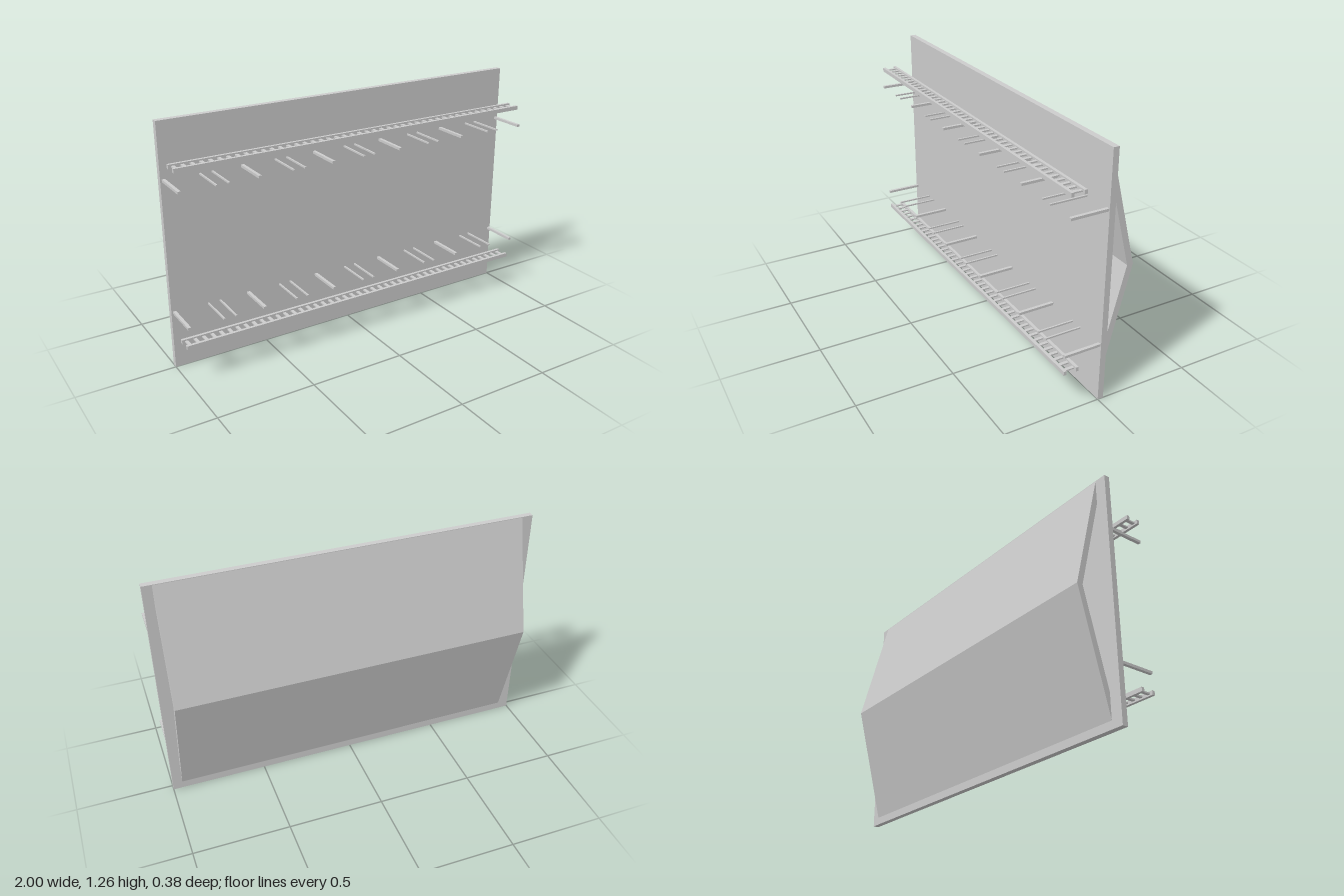
import * as THREE from 'three';

const material = new THREE.MeshStandardMaterial({ color: 0xcccccc, flatShading: true });

function addMesh(parent, name, geometry, x = 0, y = 0, z = 0) {
  const mesh = new THREE.Mesh(geometry, material);
  mesh.name = name;
  mesh.position.set(x, y, z);
  parent.add(mesh);
  return mesh;
}

const box = (w, h, d) => new THREE.BoxGeometry(w, h, d);

// Ladder-shaped tray: two side rails joined by evenly spaced rungs
function createLadder(y) {
  const ladder = new THREE.Group();
  ladder.name = 'ladderTray';
  const length = 1.98, count = 45, pitch = length / count;
  for (const z of [0.11, 0.175]) addMesh(ladder, 'sideRail', box(length, 0.021, 0.015), -0.01, 0, z);
  const rung = box(0.016, 0.007, 0.052);
  for (let i = 0; i < count; i++) addMesh(ladder, 'rung', rung, -1 + pitch * (i + 0.5), 0, 0.1425);
  ladder.position.y = y;
  return ladder;
}

// Row of thick pegs with a pair of thin pegs between neighbours
function createPegRow(y) {
  const row = new THREE.Group();
  row.name = 'pegRow';
  const thick = box(0.016, 0.013, 0.19), thin = box(0.008, 0.008, 0.19);
  const spacing = 0.3945;
  for (let i = 0; i < 6; i++) {
    const x = -0.984 + spacing * i;
    addMesh(row, 'thickPeg', thick, x, 0, 0.095);
    if (i < 5) for (const dx of [0.177, 0.24]) addMesh(row, 'thinPeg', thin, x + dx, 0, 0.095);
  }
  row.position.y = y;
  return row;
}

export function createModel() {
  const model = new THREE.Group();
  model.name = 'wallPanel';

  // Flat board
  addMesh(model, 'board', box(2, 1.26, 0.03), 0, 0.63, -0.015);

  // Hollow folded back, open at both ends; profile is (z, y)
  const profile = new THREE.Shape([
    [-0.03, 1.257], [-0.186, 0.648], [-0.03, 0.04],
    [-0.03, 0.168], [-0.154, 0.648], [-0.03, 1.13],
  ].map(([z, y]) => new THREE.Vector2(z, y)));
  const back = new THREE.ExtrudeGeometry(profile, { depth: 1.89, bevelEnabled: false });
  back.rotateY(-Math.PI / 2);
  addMesh(model, 'foldedBack', back, 0.95);

  // Upper and lower fittings on the front
  for (const y of [0.197, 1.079]) model.add(createLadder(y));
  for (const y of [0.3, 0.978]) model.add(createPegRow(y));
  return model;
}
